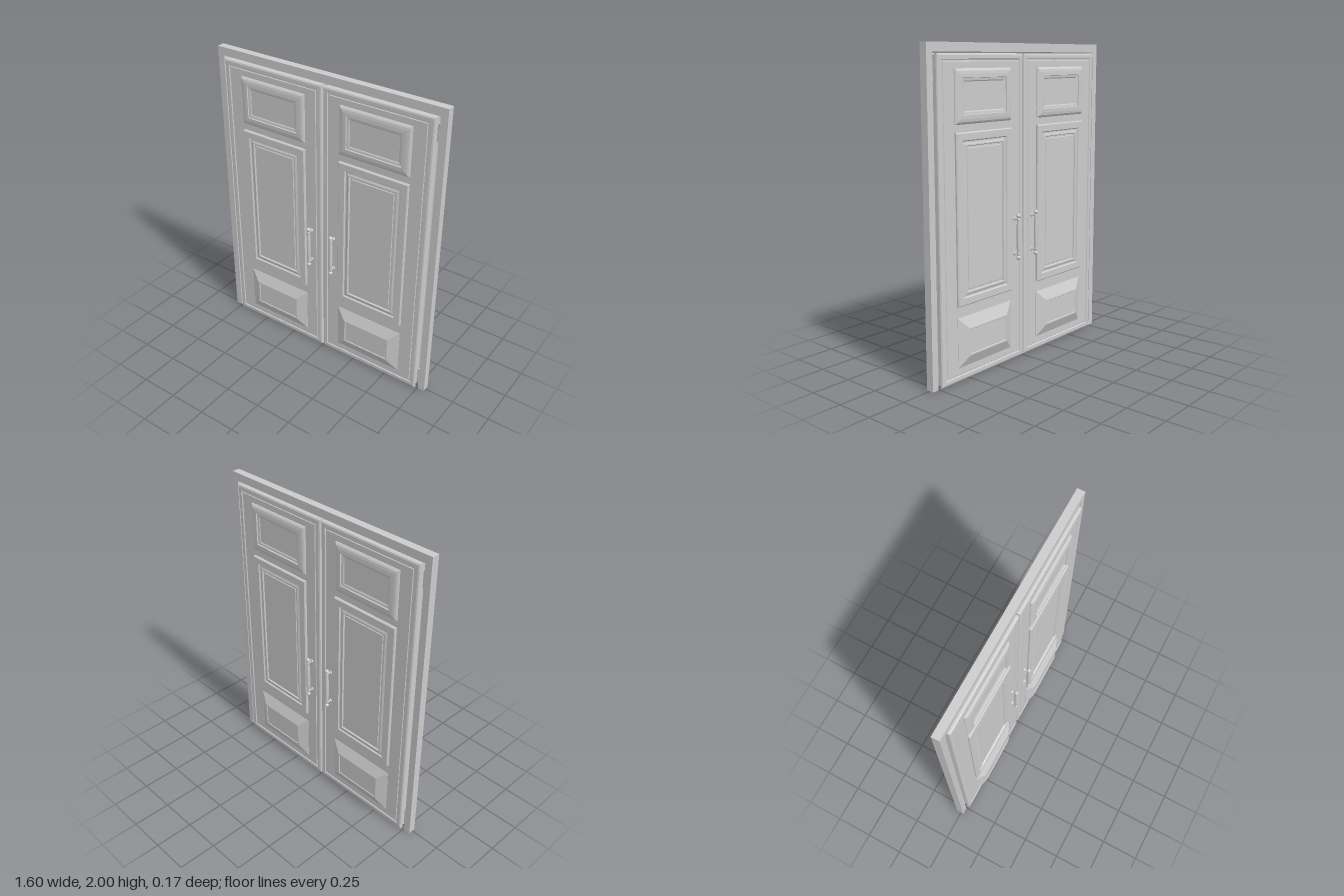
import * as THREE from 'three';

const mat = new THREE.MeshStandardMaterial({ color: 0xcccccc });
const CZ = -0.004; // depth of the doors' middle plane

function add(parent, name, geo, x = 0, y = 0, z = 0) {
  const m = new THREE.Mesh(geo, mat);
  m.name = name;
  m.position.set(x, y, z);
  parent.add(m);
  return m;
}

// Flat-faced rectangular moulding: profile is a list of [inset, z] rings
function moulding(w, h, profile) {
  const pos = [];
  const ring = ([d, z]) => {
    const a = w / 2 - d, b = h / 2 - d;
    return [[-a, -b, z], [a, -b, z], [a, b, z], [-a, b, z]];
  };
  const quad = (a, b, c, d) => pos.push(...a, ...b, ...c, ...a, ...c, ...d);
  for (let i = 0; i + 1 < profile.length; i++) {
    const p = ring(profile[i]), q = ring(profile[i + 1]);
    for (let k = 0; k < 4; k++) {
      const n = (k + 1) % 4;
      quad(p[k], p[n], q[n], q[k]);
    }
  }
  quad(...ring(profile[profile.length - 1]));
  const g = new THREE.BufferGeometry();
  g.setAttribute('position', new THREE.Float32BufferAttribute(pos, 3));
  g.computeVertexNormals();
  return g;
}

// Edge moulding of the leaf, then the flat field the panels sit on
const LEAF = [[0.008, 0], [0.008, 0.018], [0, 0.022], [0, 0.032], [0.004, 0.039], [0.012, 0.042],
  [0.032, 0.042], [0.036, 0.036], [0.043, 0.036], [0.046, 0.040]];

const PANELS = [
  { name: 'upperPanel', w: 0.48, y0: 1.54, y1: 1.855,
    profile: [[0, 0.036], [0, 0.044], [0.006, 0.05], [0.014, 0.055], [0.03, 0.058], [0.052, 0.059],
      [0.054, 0.052], [0.068, 0.050], [0.074, 0.046]] },
  { name: 'middlePanel', w: 0.48, y0: 0.47, y1: 1.495,
    profile: [[0, 0.036], [0, 0.05], [0.006, 0.056], [0.046, 0.056], [0.052, 0.048], [0.06, 0.048],
      [0.072, 0.053], [0.078, 0.053], [0.082, 0.044], [0.092, 0.044], [0.095, 0.048]] },
  { name: 'lowerPanel', w: 0.475, y0: 0.09, y1: 0.4,
    profile: [[0, 0.036], [0, 0.042], [0.07, 0.074], [0.077, 0.074], [0.08, 0.07]] },
];

// Turned grip with ball ends, held off the door by two posts
function handle() {
  const g = new THREE.Group();
  g.name = 'handle';
  const half = [[0.0125, 0], [0.0125, 0.05], [0.011, 0.09], [0.008, 0.105], [0.012, 0.112],
    [0.008, 0.119], [0.006, 0.125]];
  const pts = [...half.slice(1).reverse().map(([r, y]) => [r, -y]), ...half];
  add(g, 'grip', new THREE.LatheGeometry(pts.map(([r, y]) => new THREE.Vector2(r, y)), 16), 0, 0, 0.073);
  for (const s of [-1, 1]) {
    add(g, 'ballEnd', new THREE.SphereGeometry(0.014, 16, 12), 0, s * 0.134, 0.073);
    add(g, 'post', new THREE.CylinderGeometry(0.006, 0.006, 0.036, 12), 0, s * 0.112, 0.055).rotation.x = Math.PI / 2;
    add(g, 'rosette', new THREE.CylinderGeometry(0.011, 0.014, 0.008, 16), 0, s * 0.112, 0.043).rotation.x = Math.PI / 2;
  }
  return g;
}

function hinge() {
  const g = new THREE.Group();
  g.name = 'hinge';
  for (const s of [-1, 1]) {
    add(g, 'knuckle', new THREE.CylinderGeometry(0.01, 0.01, 0.05, 12), 0, s * 0.03, 0);
  }
  add(g, 'pin', new THREE.CylinderGeometry(0.005, 0.005, 0.1, 8));
  add(g, 'leafPlate', new THREE.BoxGeometry(0.03, 0.108, 0.005));
  return g;
}

function door(side) {
  const g = new THREE.Group();
  g.name = side > 0 ? 'leftDoor' : 'rightDoor';
  g.position.z = CZ;
  // Both faces carry the same mouldings, panels and handle
  for (const turn of [0, Math.PI]) {
    const face = new THREE.Group();
    face.name = turn ? 'backFace' : 'frontFace';
    face.rotation.y = turn;
    const dir = turn ? -side : side;
    add(face, 'leaf', moulding(0.732, 1.935, LEAF), dir * 0.37, 0.972, 0);
    for (const p of PANELS) {
      add(face, p.name, moulding(p.w, p.y1 - p.y0, p.profile), dir * 0.366, (p.y0 + p.y1) / 2, 0);
    }
    const h = handle();
    h.position.set(dir * 0.086, 0.81, 0);
    face.add(h);
    g.add(face);
  }
  for (const y of [0.088, 1.84]) {
    const h = hinge();
    h.position.set(side * 0.746, y, 0);
    g.add(h);
  }
  return g;
}

export function createModel() {
  const model = new THREE.Group();
  model.name = 'doubleDoor';

  // Door frame, open at the bottom
  const s = new THREE.Shape();
  [[-0.8, 0], [-0.755, 0], [-0.755, 1.947], [0.755, 1.947], [0.755, 0], [0.8, 0], [0.8, 2], [-0.8, 2]]
    .forEach(([x, y], i) => (i ? s.lineTo(x, y) : s.moveTo(x, y)));
  add(model, 'frame', new THREE.ExtrudeGeometry(s, { depth: 0.05, bevelEnabled: false }), 0, 0, -0.03);

  for (const side of [-1, 1]) model.add(door(side));
  return model;
}
